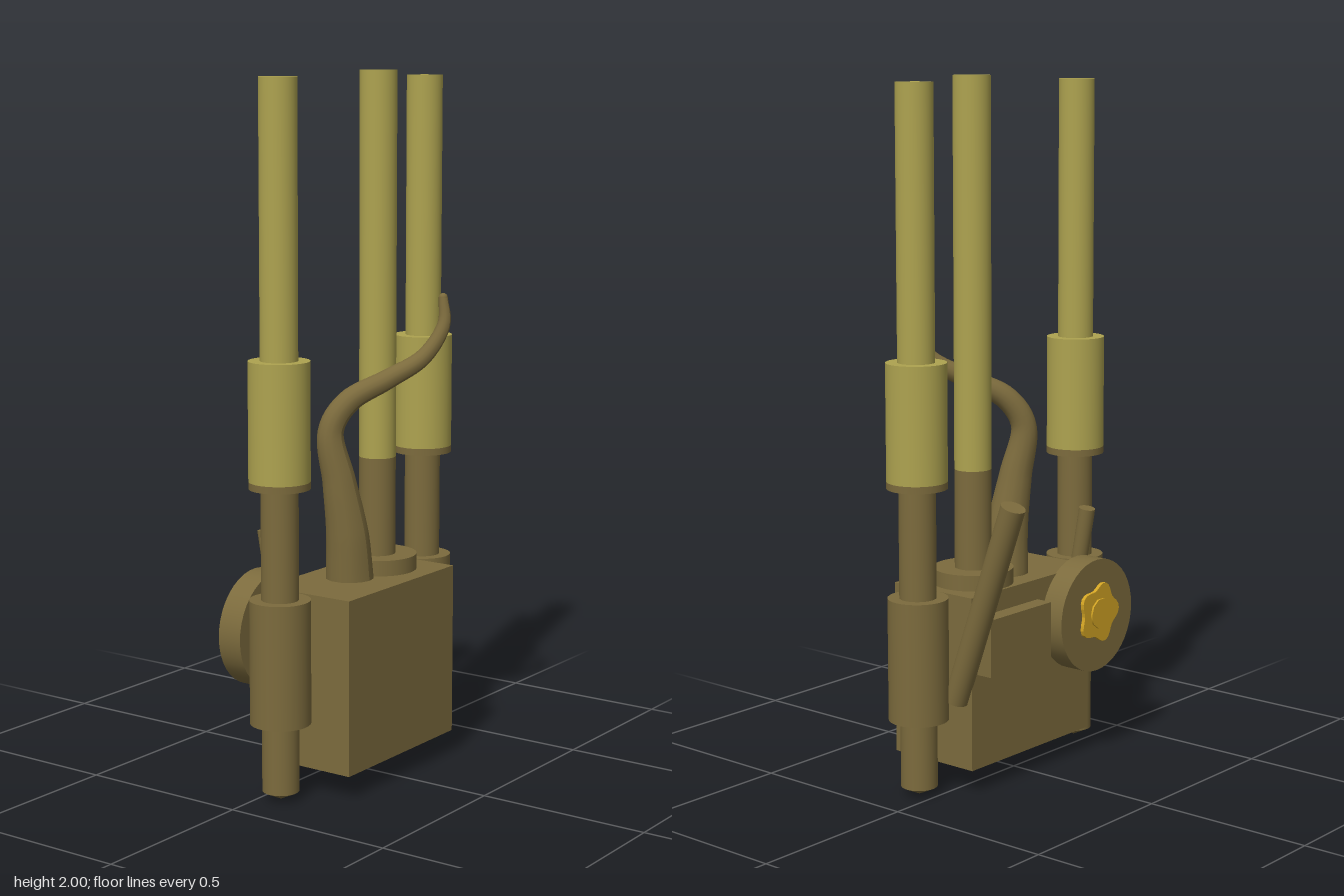
import * as THREE from 'three';

const brown = new THREE.MeshStandardMaterial({ name: 'bronze brown', color: 0x7c6b3d });
const olive = new THREE.MeshStandardMaterial({ name: 'olive yellow', color: 0xaea350 });
const gold = new THREE.MeshStandardMaterial({ name: 'gold', color: 0xd2a424 });

function add(parent, name, geometry, material, x = 0, y = 0, z = 0) {
  const mesh = new THREE.Mesh(geometry, material);
  mesh.name = name;
  mesh.position.set(x, y, z);
  parent.add(mesh);
  return mesh;
}

// Upright cylinder between two heights
function column(parent, name, r, y0, y1, material, x, z) {
  return add(parent, name, new THREE.CylinderGeometry(r, r, y1 - y0, 32), material, x, (y0 + y1) / 2, z);
}

// Cylinder between two points
function rodBetween(parent, name, a, b, r) {
  const dir = b.clone().sub(a);
  const mesh = add(parent, name, new THREE.CylinderGeometry(r, r, dir.length(), 24), brown);
  mesh.position.copy(a).add(b).multiplyScalar(0.5);
  mesh.quaternion.setFromUnitVectors(new THREE.Vector3(0, 1, 0), dir.normalize());
  return mesh;
}

// Tube whose radius follows a list of values along the path
function taperedTube(points, radii, segments, sides) {
  const curve = new THREE.CatmullRomCurve3(points);
  const geo = new THREE.TubeGeometry(curve, segments, 1, sides);
  const pos = geo.attributes.position;
  const v = new THREE.Vector3();
  for (let i = 0; i <= segments; i++) {
    const c = curve.getPointAt(i / segments);
    const t = curve.getUtoTmapping(i / segments) * (radii.length - 1);
    const k = Math.min(Math.floor(t), radii.length - 2);
    const r = THREE.MathUtils.lerp(radii[k], radii[k + 1], t - k);
    for (let j = 0; j <= sides; j++) {
      const n = i * (sides + 1) + j;
      v.fromBufferAttribute(pos, n).sub(c).multiplyScalar(r).add(c);
      pos.setXYZ(n, v.x, v.y, v.z);
    }
  }
  geo.computeVertexNormals();
  return geo;
}

export function createModel() {
  const model = new THREE.Group();
  model.name = 'machine';
  const V = (x, y, z) => new THREE.Vector3(x, y, z);
  const px = 0.053;

  // Main block and side box
  add(model, 'body', new THREE.BoxGeometry(0.29, 0.5, 0.525), brown, 0.075, 0.32, -0.004);
  add(model, 'sideBox', new THREE.BoxGeometry(0.06, 0.165, 0.266), brown, -0.09, 0.428, -0.11);

  // Front and back posts
  for (const [name, z] of [['frontPost', 0.35], ['backPost', -0.352]]) {
    const post = new THREE.Group();
    post.name = name;
    model.add(post);
    const tip = add(post, 'tip', new THREE.ConeGeometry(0.052, 0.025, 32), brown, px, 0.0125, z);
    tip.rotation.x = Math.PI;
    column(post, 'lowerRod', 0.052, 0.025, 0.89, brown, px, z);
    column(post, 'lowerCollar', 0.085, 0.22, 0.57, brown, px, z);
    column(post, 'collarRim', 0.085, 0.88, 0.9, brown, px, z);
    column(post, 'upperCollar', 0.085, 0.9, 1.23, olive, px, z);
    column(post, 'upperRod', 0.052, 1.22, 1.985, olive, px, z);
  }

  // Central mast
  column(model, 'mastBase', 0.115, 0.56, 0.615, brown, px, -0.117);
  column(model, 'mastLower', 0.053, 0.6, 0.9, brown, px, -0.117);
  column(model, 'mastUpper', 0.053, 0.9, 2, olive, px, -0.117);

  // Round dial on the side
  const dial = add(model, 'dial', new THREE.CylinderGeometry(0.167, 0.167, 0.075, 40), brown, -0.1045, 0.437, 0.21);
  dial.rotation.z = Math.PI / 2;

  // Scalloped gold plate with a raised centre
  const outline = new THREE.Shape();
  for (let i = 0; i < 40; i++) {
    const a = (i / 40) * Math.PI * 2;
    const r = 0.081 + 0.01 * Math.cos(a * 5);
    outline[i ? 'lineTo' : 'moveTo'](Math.cos(a) * r, Math.sin(a) * r);
  }
  outline.closePath();
  const plate = add(model, 'dialPlate',
    new THREE.ExtrudeGeometry(outline, { depth: 0.012, bevelEnabled: false }), gold, -0.141, 0.445, 0.211);
  plate.rotation.y = -Math.PI / 2;
  const boss = add(model, 'dialBoss', new THREE.CylinderGeometry(0.045, 0.045, 0.008, 10), gold, -0.155, 0.445, 0.211);
  boss.rotation.z = Math.PI / 2;

  // Slanted levers
  rodBetween(model, 'backLever', V(-0.02, 0.27, -0.276), V(-0.228, 0.852, -0.276), 0.035);
  rodBetween(model, 'frontLever', V(0.01, 0.35, 0.266), V(-0.06, 0.737, 0.266), 0.024);

  // Curling tendril
  const path = [
    V(0.06, 0.56, 0.03), V(0.062, 0.7, 0.045), V(0.05, 0.85, 0.067), V(0.032, 1.0, 0.083),
    V(0.065, 1.08, 0.045), V(0.14, 1.14, -0.04), V(0.208, 1.2, -0.12), V(0.243, 1.29, -0.17), V(0.235, 1.365, -0.178),
  ];
  const radii = [0.07, 0.062, 0.049, 0.037, 0.034, 0.029, 0.024, 0.019, 0.013];
  add(model, 'tendril', taperedTube(path, radii, 60, 14), brown);
  add(model, 'tendrilTip', new THREE.SphereGeometry(0.013, 12, 8), brown, 0.235, 1.365, -0.178);

  return model;
}
